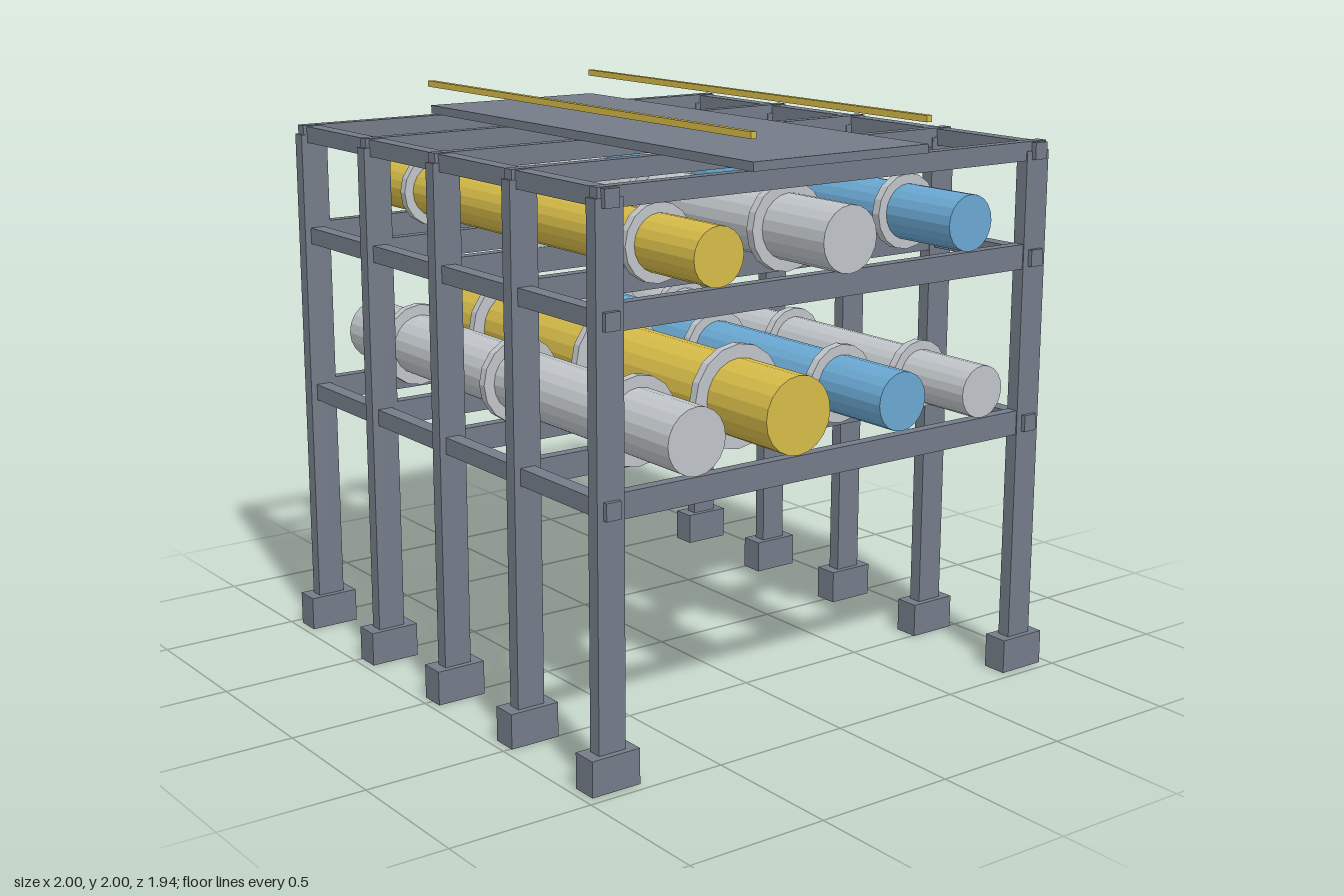
import * as THREE from 'three';

function mat(name, color) {
  const m = new THREE.MeshStandardMaterial({ color });
  m.name = name;
  return m;
}

export function createModel() {
  const model = new THREE.Group();
  model.name = 'pipeRack';

  const steel = mat('steel', 0x747c88);
  const yellow = mat('yellow', 0xd6bb48);
  const blue = mat('blue', 0x6aa8d2);
  const grey = mat('lightGrey', 0xc0c5c9);

  const box = (name, material, w, h, d, x, y, z) => {
    const mesh = new THREE.Mesh(new THREE.BoxGeometry(w, h, d), material);
    mesh.name = name;
    mesh.position.set(x, y, z);
    model.add(mesh);
  };

  // Cylinder lying along x with faceted sides
  const rod = (name, material, r, length, sides, x, y, z) => {
    const geo = new THREE.CylinderGeometry(r, r, length, sides).rotateZ(Math.PI / 2).toNonIndexed();
    geo.computeVertexNormals();
    const mesh = new THREE.Mesh(geo, material);
    mesh.name = name;
    mesh.position.set(x, y, z);
    model.add(mesh);
  };

  // Five portal frames: footings, posts and cross beams
  for (const x of [-0.92, -0.46, 0, 0.46, 0.92]) {
    for (const z of [-0.88, 0.88]) {
      box('footing', steel, 0.09, 0.12, 0.18, x, 0.06, z);
      box('post', steel, 0.048, 1.845, 0.1, x, 0.9225, z);
    }
    box('lowerCrossBeam', steel, 0.04, 0.085, 1.8, x, 0.904, 0);
    box('middleCrossBeam', steel, 0.04, 0.085, 1.8, x, 1.486, 0);
    box('topCrossBeam', steel, 0.04, 0.065, 1.84, x, 1.845, 0);
  }

  // Long beams tying the frames together, on both sides at each level
  for (const z of [-0.88, 0.88]) {
    for (const y of [0.9, 1.48, 1.845]) {
      box('longBeam', steel, 1.92, 0.058, 0.054, 0, y, z);
    }
  }

  // Walkway with its two handrails
  box('walkway', steel, 1.92, 0.03, 0.72, 0, 1.893, 0);
  for (const z of [-0.36, 0.36]) {
    box('handrail', yellow, 1.92, 0.022, 0.022, 0, 1.989, z);
  }

  // Pipes [material, radius, y, z], each with three flanges
  const pipes = [
    [grey, 0.11, 1.08, 0.6],
    [yellow, 0.13, 1.1, 0.2],
    [blue, 0.1, 1.08, -0.24],
    [grey, 0.09, 1.06, -0.6],
    [yellow, 0.095, 1.64, 0.52],
    [grey, 0.11, 1.64, 0],
    [blue, 0.095, 1.64, -0.52],
  ];
  for (const [material, r, y, z] of pipes) {
    rod('pipe', material, r, 2, 20, 0, y, z);
    for (const x of [-0.68, 0, 0.68]) {
      rod('flange', grey, r * 1.36, 0.032, 16, x, y, z);
    }
  }

  return model;
}
